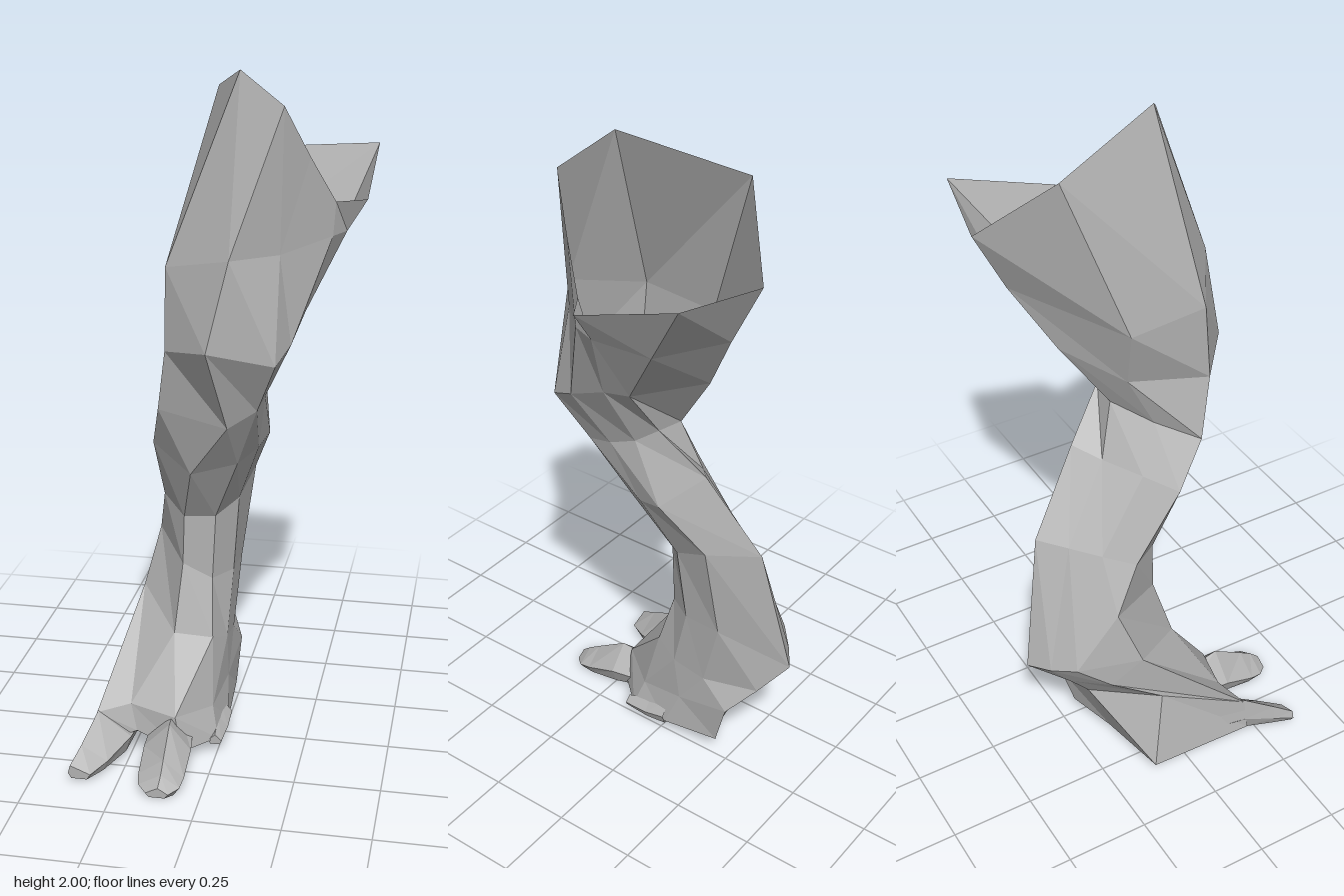
import * as THREE from 'three';

const skin = new THREE.MeshStandardMaterial({ color: 0xb2b2b2, flatShading: true, side: THREE.DoubleSide });
skin.name = 'plain grey';

// Skins a stack of rings with flat facets and closes the last ring with a fan
function loft(name, rings) {
  const pos = [];
  const tri = (a, b, c) => pos.push(...a, ...b, ...c);
  const n = rings[0].length;
  for (let i = 0; i < rings.length - 1; i++) {
    for (let j = 0; j < n; j++) {
      const k = (j + 1) % n;
      const a = rings[i][j], b = rings[i][k], c = rings[i + 1][j], d = rings[i + 1][k];
      tri(a, c, d);
      tri(a, d, b);
    }
  }
  const last = rings[rings.length - 1];
  const centre = [0, 1, 2].map(k => last.reduce((s, p) => s + p[k], 0) / n);
  for (let j = 0; j < n; j++) tri(centre, last[(j + 1) % n], last[j]);
  const g = new THREE.BufferGeometry();
  g.setAttribute('position', new THREE.Float32BufferAttribute(pos, 3));
  g.computeVertexNormals();
  const mesh = new THREE.Mesh(g, skin);
  mesh.name = name;
  return mesh;
}

// Toe sections along z: [z, centre x, half width, top y, bottom y]; ridge shifts the top edge sideways
function toe(name, ridge, sections) {
  return loft(name, sections.map(([z, x, w, t, b]) => {
    const m = b + (t - b) * 0.4;
    return [[x + w * ridge, t, z], [x + w, m, z], [x + w * 0.7, b, z], [x - w * 0.7, b, z], [x - w, m, z]];
  }));
}

export function createModel() {
  const group = new THREE.Group();
  group.name = 'leg';

  // Ring order: front, round by +x to the back, then by -x to the front
  const thigh = [
    // open, slanted rim
    [[0.19, 1.92, 0.185], [0.25, 1.78, 0.11], [0.31, 1.65, 0.03], [0.39, 1.65, -0.02],
      [0.39, 1.755, -0.34], [0.12, 1.73, -0.4], [-0.06, 1.92, -0.24], [0.06, 2, 0.1]],
    // mid thigh
    [[0.06, 1.53, 0.27], [0.18, 1.53, 0.17], [0.305, 1.56, 0.045], [0.335, 1.56, -0.03],
      [0.31, 1.55, -0.2], [0.12, 1.55, -0.31], [-0.135, 1.46, -0.08], [-0.135, 1.48, 0.15]],
    // above the knee
    [[0, 1.28, 0.285], [0.18, 1.24, 0.235], [0.21, 1.28, 0.15], [0.23, 1.34, 0.02],
      [0.22, 1.35, -0.06], [0.05, 1.36, -0.2], [-0.08, 1.28, -0.06], [-0.135, 1.25, 0.17]],
    // knee
    [[0.04, 1.04, 0.18], [0.12, 1.09, 0.16], [0.13, 1.11, 0.08], [0.12, 1.14, 0],
      [0.09, 1.18, -0.06], [0, 1.17, -0.07], [-0.09, 1.12, 0.02], [-0.165, 1.07, 0.13]],
  ];
  // The back of the shin is one flat strip between two ridges
  const shin = [
    // below the knee
    [[-0.08, 0.87, 0.1], [0.05, 0.9, 0.07], [0.1, 0.93, 0], [0.12, 0.95, -0.08],
      [0.03, 1.04, -0.18], [-0.04, 1.01, -0.12], [-0.13, 0.98, -0.04], [-0.2, 0.94, 0.04]],
    // upper calf
    [[-0.12, 0.7, 0], [-0.03, 0.7, -0.02], [0.03, 0.74, -0.08], [0.06, 0.8, -0.2],
      [-0.03, 0.8, -0.335], [-0.09, 0.78, -0.26], [-0.15, 0.76, -0.185], [-0.2, 0.73, -0.1]],
    // lower calf
    [[-0.125, 0.55, 0], [-0.04, 0.5, -0.02], [0.01, 0.5, -0.1], [0.015, 0.5, -0.22],
      [-0.09, 0.39, -0.41], [-0.155, 0.4, -0.365], [-0.215, 0.42, -0.31], [-0.23, 0.59, -0.18]],
    // ankle
    [[-0.14, 0.35, 0.06], [-0.03, 0.33, 0.03], [0, 0.3, -0.05], [0, 0.28, -0.16],
      [-0.04, 0.29, -0.33], [-0.15, 0.32, -0.3], [-0.245, 0.34, -0.21], [-0.27, 0.42, -0.12]],
  ];
  const foot = [
    // instep
    [[-0.25, 0.16, 0.165], [-0.11, 0.145, 0.2], [-0.02, 0.13, 0.08], [0, 0.16, -0.07],
      [0.01, 0.2, -0.25], [-0.14, 0.24, -0.235], [-0.3, 0.27, -0.07], [-0.345, 0.14, 0.2]],
    // edge of the sole
    [[-0.23, 0.08, 0.18], [-0.09, 0.04, 0.21], [0, 0.04, 0.11], [0.01, 0.04, -0.02],
      [0, 0.06, -0.21], [-0.12, 0.02, -0.15], [-0.35, 0.04, -0.12], [-0.355, 0.035, 0.21]],
  ];
  // Hollow leg, open at the top and closed under the sole
  group.add(loft('legAndFoot', [...thigh, ...shin, ...foot]));

  // Two long toes and one small side toe
  group.add(toe('outerToe', -0.8, [[0.06, -0.28, 0.055, 0.12, 0.05], [0.2, -0.298, 0.055, 0.145, 0.02],
    [0.3, -0.333, 0.043, 0.085, 0.01], [0.36, -0.36, 0.033, 0.05, 0.01]]));
  group.add(toe('middleToe', 0.1, [[0.06, -0.14, 0.06, 0.12, 0.05], [0.24, -0.125, 0.07, 0.145, 0.015],
    [0.34, -0.122, 0.067, 0.085, 0], [0.38, -0.12, 0.06, 0.06, 0], [0.41, -0.12, 0.033, 0.035, 0.005]]));
  group.add(toe('sideToe', 0, [[-0.02, -0.02, 0.04, 0.11, 0.03], [0.05, -0.01, 0.03, 0.08, 0.025],
    [0.13, -0.005, 0.02, 0.06, 0.03]]));
  return group;
}
